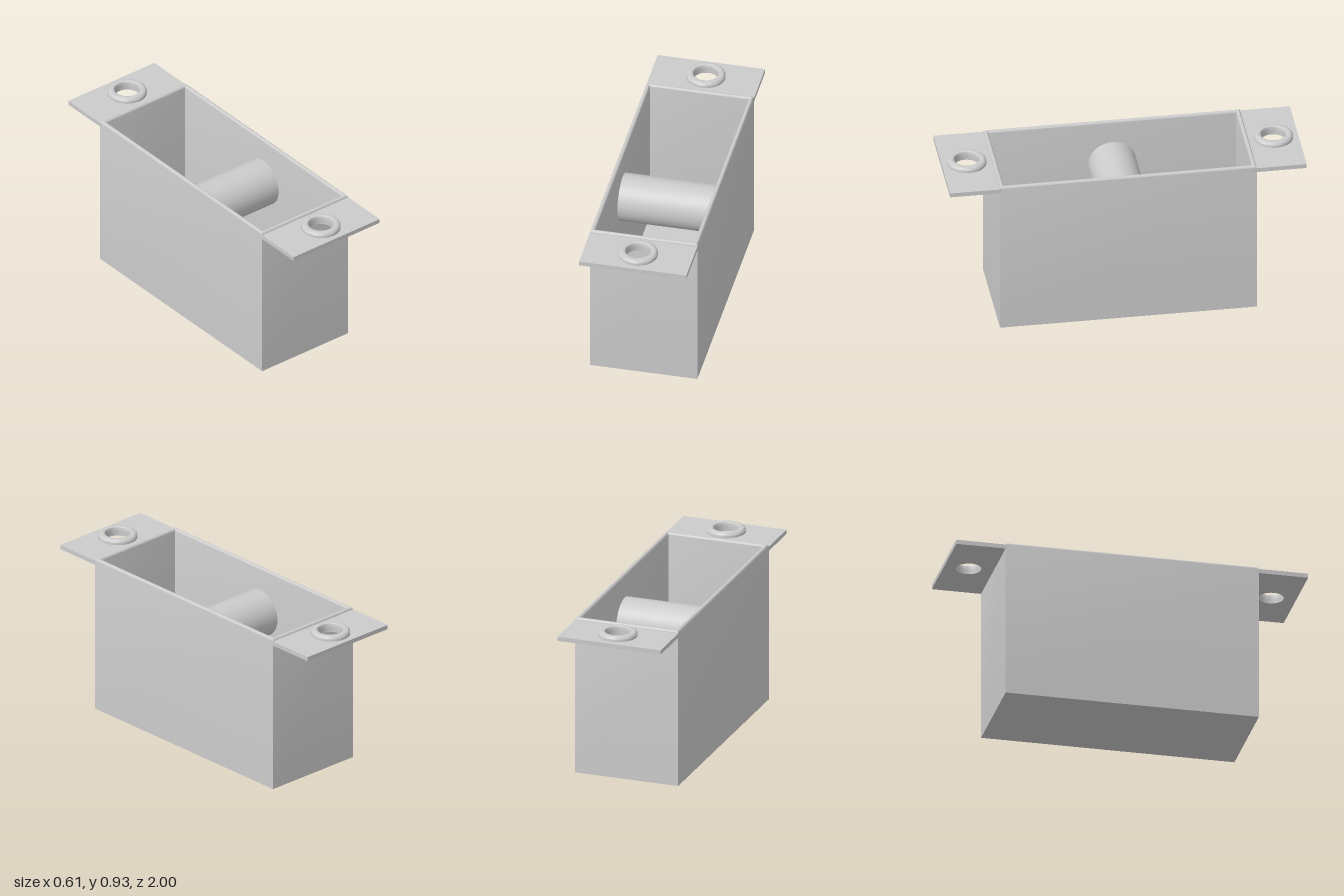
import * as THREE from 'three';
import { toCreasedNormals } from 'three/addons/utils/BufferGeometryUtils.js';

const material = new THREE.MeshStandardMaterial({ color: 0xcccccc });
const HX = 0.305, HZ = 0.72, TOP = 0.918, WALL = 0.025;
const TAB_Y = 0.88, TAB_T = 0.025, HOLE_R = 0.07, HOLE_Z = 0.86;

function add(group, name, geometry) {
  const mesh = new THREE.Mesh(geometry, material);
  mesh.name = name;
  group.add(mesh);
  return mesh;
}

// Points of an arc from angle a0 to a1 as [x, y] pairs
function arc(cx, cy, r, a0, a1, n = 8) {
  return Array.from({ length: n + 1 }, (_, i) => {
    const a = a0 + (a1 - a0) * i / n;
    return [cx + r * Math.cos(a), cy + r * Math.sin(a)];
  });
}

// Sweeps an [inset, y] profile around the rectangular housing, closed at both ends
function rectangularSweep(profile) {
  const corners = [[1, 1], [1, -1], [-1, -1], [-1, 1]];
  const rings = profile.map(([inset, y]) => corners.map(([sx, sz]) =>
    [sx * Math.max(0, HX - inset), y, sz * Math.max(0, HZ - inset)]));
  const pos = [];
  for (let i = 0; i < rings.length - 1; i++) {
    for (let j = 0; j < 4; j++) {
      const k = (j + 1) % 4;
      const a = rings[i][j], b = rings[i][k], c = rings[i + 1][k], d = rings[i + 1][j];
      pos.push(...a, ...b, ...c, ...a, ...c, ...d);
    }
  }
  const geometry = new THREE.BufferGeometry();
  geometry.setAttribute('position', new THREE.Float32BufferAttribute(pos, 3));
  return toCreasedNormals(geometry, 0.6);
}

export function createModel() {
  const model = new THREE.Group();
  model.name = 'rollerHousing';

  // Open-topped box with a rounded rim
  const r = WALL / 2;
  add(model, 'housing', rectangularSweep([
    [1, 0], [0, 0],
    ...arc(r, TOP - r, r, Math.PI, 0),
    [WALL, WALL], [1, WALL],
  ]));

  // Cross roller, its ends seated in the side walls
  const roller = add(model, 'roller', new THREE.CylinderGeometry(0.135, 0.135, 2 * HX - 0.01, 64));
  roller.rotation.z = Math.PI / 2;
  roller.position.y = 0.647;

  // Mounting tab with a round screw hole
  const tabShape = new THREE.Shape([
    [-HX, HZ - 0.01], [HX, HZ - 0.01], [HX, 1], [-HX, 1],
  ].map(([x, y]) => new THREE.Vector2(x, y)));
  tabShape.holes.push(new THREE.Path().absarc(0, HOLE_Z, HOLE_R, 0, Math.PI * 2, true));
  const tabGeometry = new THREE.ExtrudeGeometry(tabShape, {
    depth: TAB_T, bevelEnabled: false, curveSegments: 24,
  });
  tabGeometry.rotateX(-Math.PI / 2).rotateY(Math.PI).translate(0, TAB_Y, 0);

  // Rounded collar around the hole
  const base = TAB_Y + TAB_T, collarTop = 0.933;
  const collarProfile = [
    [0.11, base],
    ...arc(0.09, collarTop - 0.02, 0.02, 0, Math.PI / 2),
    ...arc(HOLE_R + 0.008, collarTop - 0.008, 0.008, Math.PI / 2, Math.PI, 5),
    [HOLE_R, base],
  ].map(([x, y]) => new THREE.Vector2(x, y));
  const collarGeometry = toCreasedNormals(new THREE.LatheGeometry(collarProfile, 48), 0.6);

  // One tab at each end
  for (const side of ['front', 'back']) {
    const group = new THREE.Group();
    group.name = side + 'Mount';
    add(group, side + 'Tab', tabGeometry);
    add(group, side + 'Collar', collarGeometry).position.z = HOLE_Z;
    if (side === 'back') group.rotation.y = Math.PI;
    model.add(group);
  }
  return model;
}
